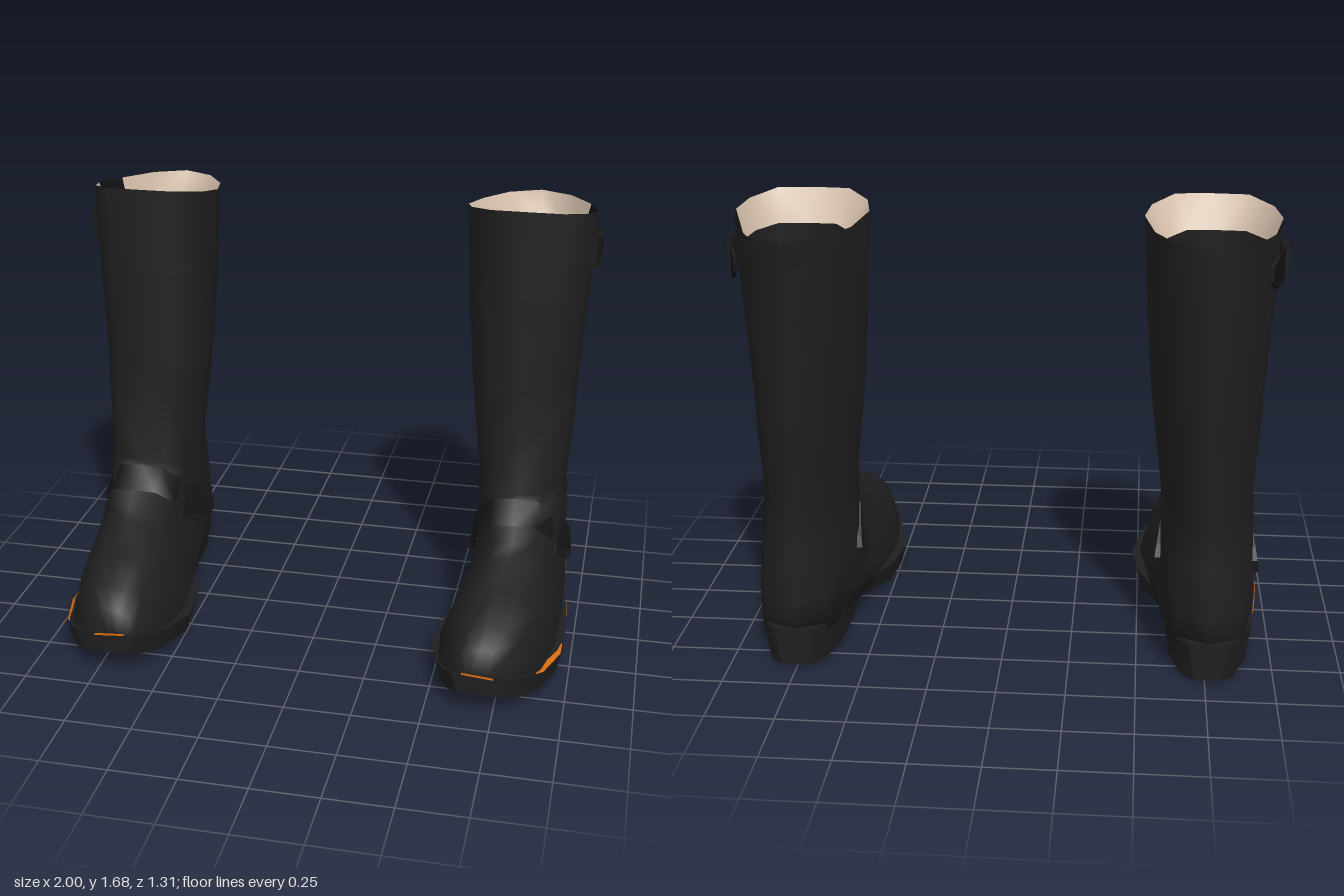
import * as THREE from 'three';
import { toCreasedNormals } from 'three/addons/utils/BufferGeometryUtils.js';

const mat = (name, color, side = THREE.FrontSide) =>
  Object.assign(new THREE.MeshStandardMaterial({ color, side }), { name });

// Surface through rings (counter-clockwise seen from the first ring)
function loft(rings, { capStart = false, capEnd = false, inward = false, closed = true } = {}) {
  const n = rings[0].length, pos = rings.flat(2), idx = [];
  const tri = (a, b, c) => (inward ? idx.push(a, c, b) : idx.push(a, b, c));
  for (let i = 0; i < rings.length - 1; i++)
    for (let j = 0; j < (closed ? n : n - 1); j++) {
      const a = i * n + j, b = i * n + (j + 1) % n;
      tri(a, a + n, b);
      tri(b, a + n, b + n);
    }
  const cap = (r, flip) => {
    const c = pos.length / 3, ring = rings[r];
    for (let k = 0; k < 3; k++) pos.push(ring.reduce((s, p) => s + p[k], 0) / n);
    for (let j = 0; j < n; j++) {
      const a = r * n + j, b = r * n + (j + 1) % n;
      flip ? tri(c, b, a) : tri(c, a, b);
    }
  };
  if (capStart) cap(0, false);
  if (capEnd) cap(rings.length - 1, true);
  const g = new THREE.BufferGeometry();
  g.setAttribute('position', new THREE.Float32BufferAttribute(pos, 3));
  g.setIndex(idx);
  g.computeVertexNormals();
  return g;
}

// Half outlines [width, front-to-back] for the shaft and for the foot
const SHAFT = [[0, 0], [0.55, 0.01], [0.9, 0.18], [1, 0.36], [0.85, 0.64], [0.5, 0.89], [0, 1]];
const FOOT = [[0, 0], [0.35, 0.03], [0.66, 0.2], [0.85, 0.5], [0.98, 0.8], [0.9, 0.97], [0, 1]];

// One ring from its front/top point to its back/bottom point; f blends shaft to foot
function ring([zf, yf, zb, yb, cx, hw, f]) {
  const half = SHAFT.map(([u, p], i) => [
    THREE.MathUtils.lerp(u, FOOT[i][0], f), THREE.MathUtils.lerp(p, FOOT[i][1], f)]);
  const at = (u, p) => [cx + u * hw, yf + (yb - yf) * p, zf + (zb - zf) * p];
  return [...half.map(([u, p]) => at(u, p)), ...half.slice(1, -1).reverse().map(([u, p]) => at(-u, p))];
}

// Top edge, dipping a little at the sides
const RIM = ring([-0.05, 1.685, -0.655, 1.61, 0.732, 0.242, 0]).map(([x, y, z]) => {
  const p = (-0.05 - z) / 0.605;
  return [x, y - 0.06 * p * (1 - p), z];
});
const LINING_EDGE = ring([-0.1, 1.56, -0.615, 1.5, 0.75, 0.194, 0]);
const UPPER = [
  [-0.035, 1.35, -0.64, 1.33, 0.733, 0.228, 0],
  [-0.02, 1.0, -0.62, 1.0, 0.735, 0.205, 0],
  [-0.005, 0.85, -0.615, 0.85, 0.742, 0.195, 0],
  [0.03, 0.6, -0.6, 0.6, 0.75, 0.172, 0],
  [0.06, 0.555, -0.6, 0.42, 0.755, 0.18, 0.2],
  [0.1, 0.53, -0.615, 0.24, 0.757, 0.183, 0.3],
  [0.14, 0.505, -0.605, 0.1, 0.757, 0.188, 0.45],
  [0.19, 0.47, -0.3, 0.09, 0.757, 0.192, 0.85],
  [0.25, 0.43, 0, 0.06, 0.745, 0.21, 1],
  [0.42, 0.37, 0.28, 0.05, 0.725, 0.221, 1],
  [0.57, 0.32, 0.52, 0.07, 0.712, 0.18, 1],
  [0.635, 0.26, 0.62, 0.1, 0.7, 0.12, 1],
  [0.652, 0.17, 0.645, 0.12, 0.7, 0.085, 1],
];

// Sole stations: z, inner x, outer x, bottom y, top y
const SOLE = [
  [-0.612, 0.7, 0.82, 0.08, 0.15], [-0.57, 0.655, 0.868, 0.07, 0.15], [-0.42, 0.61, 0.92, 0.07, 0.145],
  [-0.18, 0.59, 0.945, 0.07, 0.135], [0, 0.55, 0.96, 0.028, 0.1], [0.15, 0.5, 0.972, 0.006, 0.088],
  [0.32, 0.477, 0.97, 0.012, 0.092], [0.5, 0.52, 0.92, 0.038, 0.117], [0.6, 0.56, 0.865, 0.065, 0.15],
  [0.652, 0.6, 0.8, 0.085, 0.165],
];
const slab = ([z, x0, x1, y0, y1]) => [[x0 + 0.02, y0, z], [x0, y1, z], [x1, y1, z], [x1 - 0.02, y0, z]];

// Sole station at any z
function station(z) {
  const i = SOLE.findIndex((s, k) => k > 0 && s[0] >= z), a = SOLE[i - 1], b = SOLE[i];
  return a.map((v, k) => THREE.MathUtils.lerp(v, b[k], (z - a[0]) / (b[0] - a[0])));
}

// Flat plate drawn in side view from [z, y] points, with x moved by a rule
function plate(points, x, depth, rule) {
  const shape = new THREE.Shape(points.map(([z, y]) => new THREE.Vector2(-z, y)));
  const g = new THREE.ExtrudeGeometry(shape, { depth, bevelEnabled: false, steps: 1 })
    .rotateY(Math.PI / 2).translate(x, 0, 0);
  const p = g.attributes.position;
  for (let i = 0; i < p.count; i++) p.setX(i, p.getX(i) + rule(p.getY(i), p.getZ(i)));
  g.computeVertexNormals();
  return g;
}

// Mirror across x, keeping faces outward
function mirror(g) {
  const m = g.index ? g.toNonIndexed() : g.clone();
  m.scale(-1, 1, 1);
  for (const a of Object.values(m.attributes))
    for (let i = 0; i < a.count; i += 3)
      for (let k = 0; k < a.itemSize; k++) {
        const t = a.getComponent(i + 1, k);
        a.setComponent(i + 1, k, a.getComponent(i + 2, k));
        a.setComponent(i + 2, k, t);
      }
  return m;
}

export function createModel() {
  const leather = mat('black leather', 0x1f1f1f);
  const rubber = mat('dark rubber', 0x181818);
  const strap = mat('strap black', 0x121212, THREE.DoubleSide);
  const lining = mat('cream lining', 0xd6c0ac, THREE.DoubleSide);
  const orange = mat('orange welt', 0xe0700f, THREE.DoubleSide);

  const parts = [];
  const add = (name, geo, material, crease) =>
    parts.push([name, crease ? toCreasedNormals(geo, crease) : geo, material]);

  // Shaft and foot in one skin
  add('upper', loft([RIM, ...UPPER.map(ring)], { capEnd: true }), leather);

  // Cream collar sloping inward, with a dark patch behind the outer strap
  const collar = [RIM, LINING_EDGE];
  add('collarLining', loft(collar.map((r) => [...r.slice(4), ...r.slice(0, 4)]),
    { inward: true, closed: false }), lining);
  add('collarPatch', loft(collar.map((r) => r.slice(3, 5)), { inward: true, closed: false }), strap);

  // Dark inside of the shaft
  add('innerTube', loft([LINING_EDGE, ...[
    [-0.08, 1, -0.59, 1, 0.74, 0.178, 0],
    [-0.03, 0.6, -0.56, 0.6, 0.75, 0.145, 0],
    [-0.02, 0.3, -0.55, 0.3, 0.755, 0.14, 0],
  ].map(ring)], { inward: true, capEnd: true }), leather);

  // Sole and heel
  add('sole', loft(SOLE.map(slab), { capStart: true, capEnd: true }), leather, 0.7);
  add('heel', loft([
    [-0.61, 0.69, 0.83, 0.005, 0.145], [-0.56, 0.645, 0.875, 0, 0.145],
    [-0.42, 0.605, 0.925, 0, 0.14], [-0.18, 0.59, 0.945, 0.005, 0.13],
  ].map(slab), { capStart: true, capEnd: true }), leather, 0.7);

  // Low tread pads following the underside
  for (const z of [0.52, 0.41, 0.3, 0.19, 0.08])
    add('treadPad', loft([z - 0.03, z + 0.03].map((e) => {
      const [, x0, x1, y0] = station(e);
      return slab([e, x0 + 0.04, x1 - 0.04, y0 - 0.005, y0 + 0.01]);
    }), { capStart: true, capEnd: true }), rubber, 0.7);

  // Orange welt lying on the sole ledge beside the toes: z, height
  add('welt', loft([[0.54, 0.003], [0.5, 0.009], [0.42, 0.015], [0.32, 0.013], [0.24, 0.003]].map(([z, h]) => {
    const [, , x, , y] = station(z);
    return [[x - 0.003, y + 0.001, z], [x - 0.003 - h, y + 0.001 + h, z]];
  }), { closed: false }), orange);

  // Orange welt along the outer arch: z, lower y, upper y
  add('welt', loft([[0.05, 0.1, 0.106], [0, 0.106, 0.124], [-0.1, 0.119, 0.152], [-0.18, 0.13, 0.161],
    [-0.26, 0.138, 0.16], [-0.33, 0.142, 0.152]].map(([z, y0, y1]) => {
    const x = station(z)[2] + 0.006;
    return [[x, y0, z], [x - 0.003, y1, z]];
  }), { closed: false }), orange);
  add('toeWelt', loft([[[0.635, 0.166, 0.658], [0.635, 0.174, 0.658]],
    [[0.75, 0.156, 0.658], [0.75, 0.165, 0.658]]], { closed: false }), orange);

  // Band across the instep
  const bandRing = (r) => {
    const pts = ring(r);
    return [...pts.slice(-2), ...pts.slice(0, 3)];
  };
  add('instepBand', loft([
    bandRing([0.053, 0.588, -0.29, 0.165, 0.745, 0.175, 0.3]),
    bandRing([0.14, 0.515, -0.19, 0.14, 0.75, 0.185, 0.4]),
  ], { closed: false }), strap);

  // Ankle tabs on both sides
  const tab = [[-0.05, 0.47], [-0.1, 0.45], [-0.22, 0.365], [-0.24, 0.32], [-0.235, 0.27],
    [-0.2, 0.26], [-0.13, 0.265], [0, 0.35]];
  const lean = (y, z) => (0.45 - y) * 0.15 - Math.max(0, z + 0.12) * 0.3;
  add('ankleTab', plate(tab, 0.89, 0.04, lean), rubber);
  add('ankleTab', plate(tab, 0.58, 0.04, (y, z) => -lean(y, z)), rubber);

  // Buckle and pointed strap near the top, on the outer side
  const curve = (y, z) => -(z > -0.28 ? 2.4 : 1) * (z + 0.28) ** 2;
  add('buckle', plate([[-0.19, 1.56], [-0.28, 1.56], [-0.36, 1.55], [-0.36, 1.455],
    [-0.28, 1.44], [-0.19, 1.44]], 0.975, 0.025, curve), rubber);
  add('topStrap', plate([[-0.35, 1.56], [-0.46, 1.555], [-0.52, 1.525], [-0.52, 1.475],
    [-0.47, 1.44], [-0.35, 1.44]], 0.975, 0.012, curve), strap);

  // The pair
  const model = new THREE.Group();
  model.name = 'boots';
  for (const side of [1, -1]) {
    const boot = new THREE.Group();
    boot.name = side > 0 ? 'leftBoot' : 'rightBoot';
    for (const [name, geo, material] of parts) {
      const mesh = new THREE.Mesh(side > 0 ? geo : mirror(geo), material);
      mesh.name = name;
      boot.add(mesh);
    }
    model.add(boot);
  }
  return model;
}
